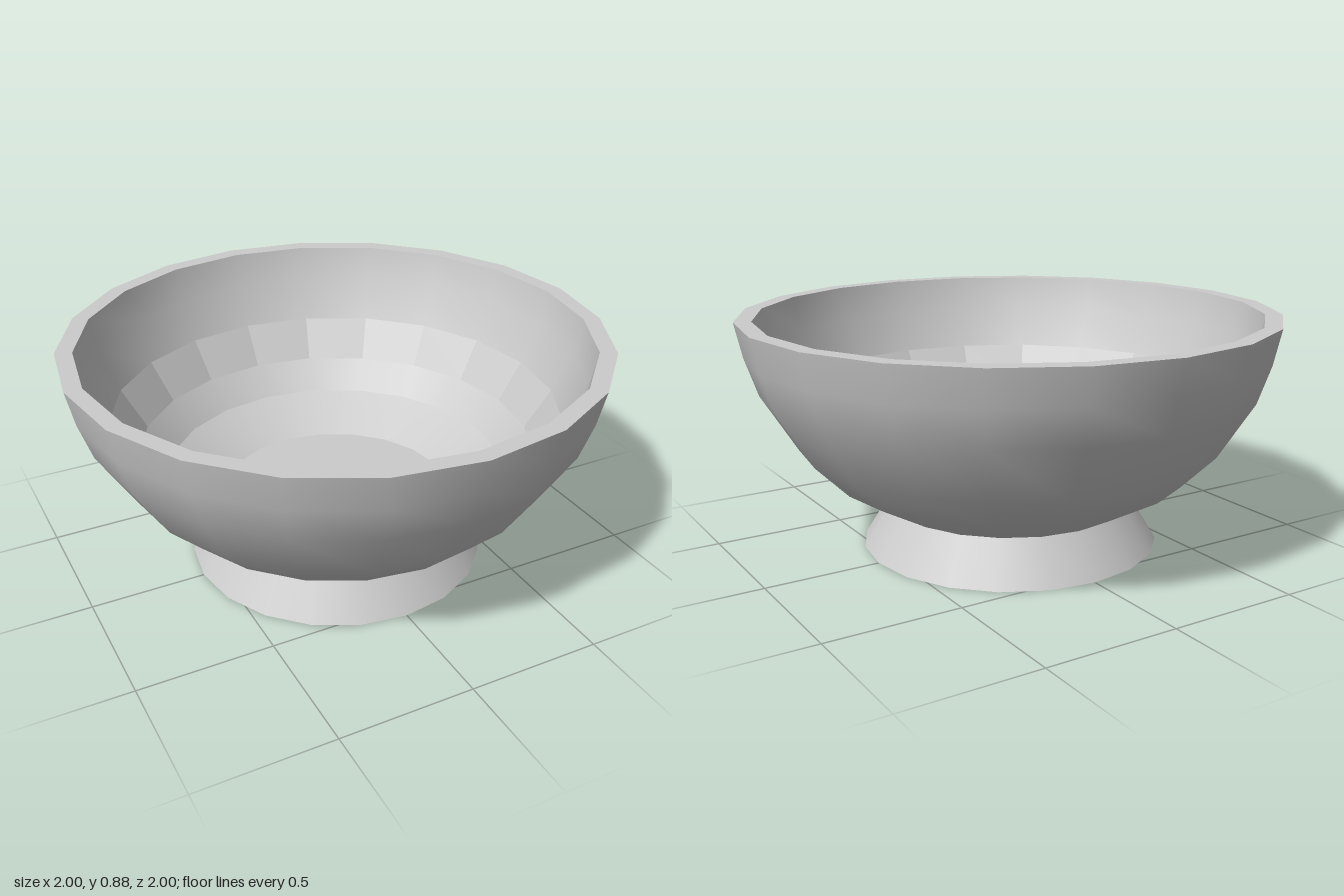
import * as THREE from 'three';

const SIDES = 20;
const material = new THREE.MeshStandardMaterial({ color: 0xcccccc });
const facetMaterial = new THREE.MeshStandardMaterial({ color: 0xcccccc, flatShading: true });

// Turns a profile of [radius, height] points around the y axis.
function turned(name, profile, mat = material) {
  const points = profile.map(([r, y]) => new THREE.Vector2(r, y));
  const mesh = new THREE.Mesh(new THREE.LatheGeometry(points, SIDES), mat);
  mesh.name = name;
  return mesh;
}

export function createModel() {
  const model = new THREE.Group();
  model.name = 'footedBowl';

  // Bowl: smooth outside, flat rim, stepped inside running from rim to floor
  const bowl = new THREE.Group();
  bowl.name = 'bowl';
  bowl.add(
    turned('bowlOutside', [[0.465, 0.16], [0.67, 0.275], [0.795, 0.4], [0.925, 0.61], [0.972, 0.75], [1, 0.88]]),
    turned('rim', [[1, 0.88], [0.937, 0.88]], facetMaterial),
    turned('innerWall', [[0.937, 0.88], [0.91, 0.75], [0.84, 0.59]]),
    turned('innerFacetBand', [[0.84, 0.59], [0.745, 0.44]], facetMaterial),
    turned('innerLowerWall', [[0.745, 0.44], [0.65, 0.33]]),
    turned('innerSlope', [[0.65, 0.33], [0.565, 0.28], [0.45, 0.22]]),
    turned('bowlFloor', [[0.45, 0.22], [0, 0.22]], facetMaterial)
  );

  // Foot: flared ring closed by a flat base
  const foot = new THREE.Group();
  foot.name = 'foot';
  foot.add(
    turned('footSide', [[0.565, 0], [0.465, 0.16]]),
    turned('footBase', [[0, 0], [0.565, 0]], facetMaterial)
  );

  model.add(bowl, foot);
  return model;
}
